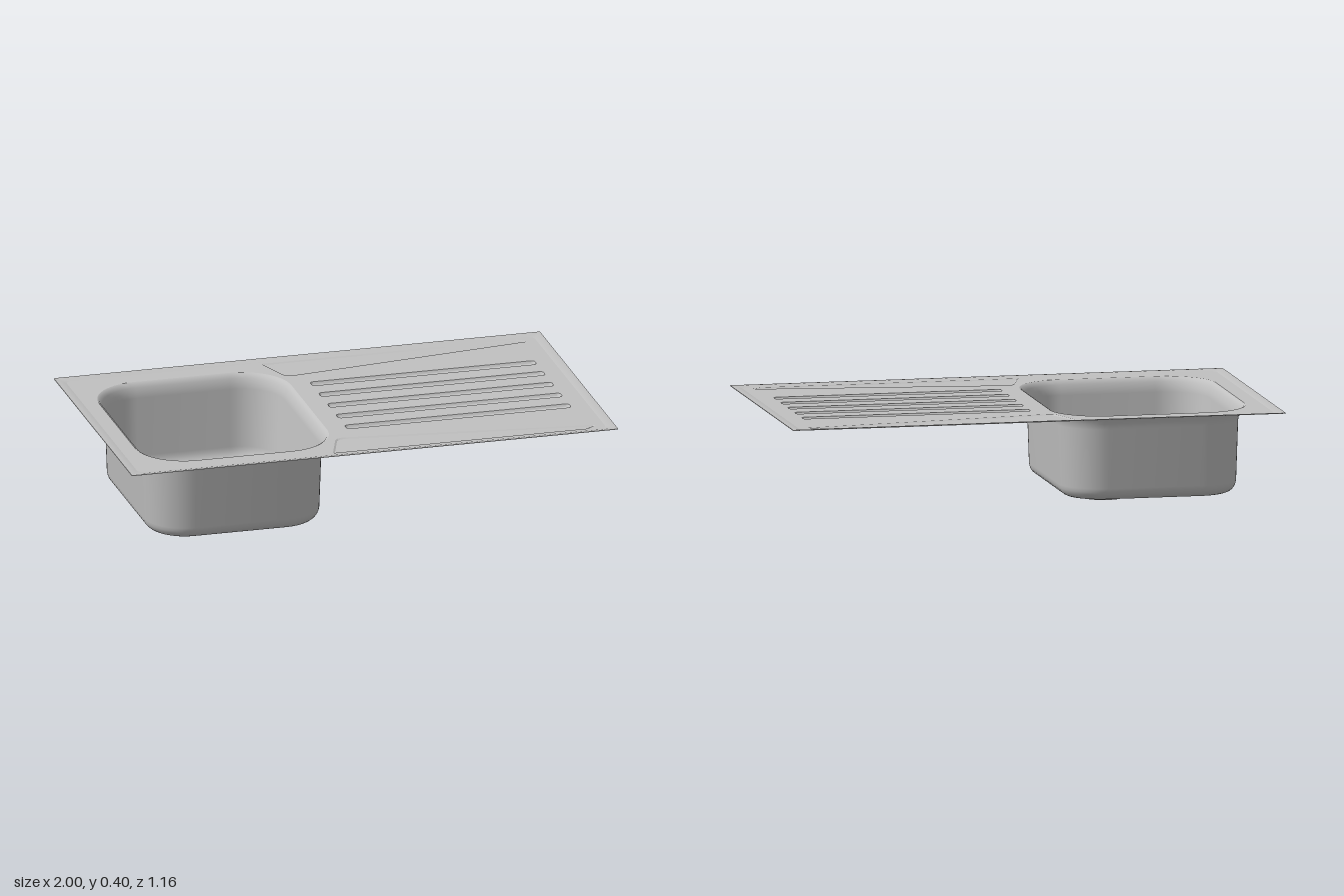
import * as THREE from 'three';
import { toCreasedNormals } from 'three/addons/utils/BufferGeometryUtils.js';

const steel = new THREE.MeshStandardMaterial({ color: 0xc0c0c0, side: THREE.DoubleSide });
steel.name = 'brushed steel';

const DECK = 0.399, EDGE = 0.404;

// Outlines are 2D points (x, -z), counter-clockwise seen from above.
function roundedRect(cx, cy, hx, hy, r, steps = 14) {
  const pts = [];
  [[1, 1], [-1, 1], [-1, -1], [1, -1]].forEach(([sx, sy], corner) => {
    for (let i = 0; i <= steps; i++) {
      const a = (corner + i / steps) * Math.PI / 2;
      pts.push(new THREE.Vector2(cx + sx * (hx - r) + r * Math.cos(a), cy + sy * (hy - r) + r * Math.sin(a)));
    }
  });
  return pts;
}

// Moves every side of a polygon inwards by d
function inset(pts, d) {
  const n = pts.length;
  return pts.map((p, i) => {
    const e1 = p.clone().sub(pts[(i + n - 1) % n]).normalize();
    const e2 = pts[(i + 1) % n].clone().sub(p).normalize();
    const n1 = new THREE.Vector2(-e1.y, e1.x), n2 = new THREE.Vector2(-e2.y, e2.x);
    return n1.clone().add(n2).multiplyScalar(d / (1 + n1.dot(n2))).add(p);
  });
}

// Skins rings [outline, height] from outside to inside, optionally closing the last one
function loft(name, rings, cap, crease = 0.6) {
  const pos = [], idx = [], n = rings[0][0].length;
  rings.forEach(([pts, y]) => pts.forEach((p) => pos.push(p.x, y, -p.y)));
  for (let k = 0; k < rings.length - 1; k++) {
    for (let i = 0; i < n; i++) {
      const a = k * n + i, b = k * n + (i + 1) % n;
      idx.push(a, b, a + n, b, b + n, a + n);
    }
  }
  if (cap) {
    const base = (rings.length - 1) * n;
    THREE.ShapeUtils.triangulateShape(rings[rings.length - 1][0].slice(), [])
      .forEach((f) => idx.push(base + f[0], base + f[1], base + f[2]));
  }
  const g = new THREE.BufferGeometry();
  g.setAttribute('position', new THREE.Float32BufferAttribute(pos, 3));
  g.setIndex(idx);
  return named(name, toCreasedNormals(g, crease));
}

function named(name, geometry) {
  const m = new THREE.Mesh(geometry, steel);
  m.name = name;
  return m;
}

function sheet(name, outline, holes, y) {
  const shape = new THREE.Shape(outline);
  holes.forEach((h) => shape.holes.push(new THREE.Path(h)));
  const m = named(name, new THREE.ShapeGeometry(shape).rotateX(-Math.PI / 2));
  m.position.y = y;
  return m;
}

export function createModel() {
  const sink = new THREE.Group();
  sink.name = 'sink';
  const holes = [];

  // Bowl: rolled lip, nearly upright walls, rounded foot, floor falling to the drain
  const bx = -0.505, dx = -0.385;
  const rim = roundedRect(bx, 0, 0.395, 0.465, 0.2);
  holes.push(rim);
  const bowl = [[rim, DECK]];
  [
    [0.386, 0.456, 0.193, 0.394], [0.378, 0.448, 0.186, 0.38],
    [0.370, 0.441, 0.179, 0.362], [0.366, 0.437, 0.175, 0.34],
    [0.358, 0.429, 0.168, 0.10],
  ].forEach(([hx, hz, r, y]) => bowl.push([roundedRect(bx, 0, hx, hz, r), y]));
  for (let i = 1; i <= 6; i++) {
    const a = i / 6 * Math.PI / 2, d = 0.046 * (1 - Math.cos(a));
    bowl.push([roundedRect(bx, 0, 0.357 - d, 0.428 - d, 0.167 - d), 0.098 - 0.046 * Math.sin(a)]);
  }
  [[0.125, 0.036], [0.108, 0.033], [0.098, 0.028], [0.091, 0.02], [0.087, 0]]
    .forEach(([r, y]) => bowl.push([roundedRect(dx, 0, r, r, r), y]));
  sink.add(loft('bowl', bowl, true, 0.7));

  // Drain strainer with rings of holes and a centre knob
  const perforations = [];
  [[8, 0.03], [14, 0.048], [20, 0.065]].forEach(([count, radius]) => {
    for (let i = 0; i < count; i++) {
      const a = i / count * Math.PI * 2;
      perforations.push(roundedRect(dx + radius * Math.cos(a), radius * Math.sin(a), 0.005, 0.005, 0.005, 3));
    }
  });
  sink.add(sheet('strainer', roundedRect(dx, 0, 0.089, 0.089, 0.089), perforations, 0.022));
  const knob = named('strainerKnob', new THREE.CylinderGeometry(0.012, 0.015, 0.006, 24));
  knob.position.set(dx, 0.025, 0);
  sink.add(knob);

  // Five drainer grooves
  for (let i = -2; i <= 2; i++) {
    const ring = (d) => roundedRect(0.43, i * 0.128, 0.461 - d, 0.022 - d, 0.014 - d, 5);
    holes.push(ring(0));
    sink.add(loft('drainerGroove', [[ring(0), DECK], [ring(0.004), 0.392], [ring(0.009), 0.389]], true));
  }

  // Tapered recessed panels along the front and back of the drainer
  const wedge = [[-0.16, 0.53], [-0.112, 0.392], [-0.1, 0.376], [-0.08, 0.37], [-0.05, 0.372],
    [0.92, 0.495], [0.925, 0.502], [0.885, 0.53]];
  [1, -1].forEach((side) => {
    const outline = wedge.map(([x, y]) => new THREE.Vector2(x, side * y));
    if (side < 0) outline.reverse();
    holes.push(outline);
    sink.add(loft('taperedPanel', [[outline, DECK], [inset(outline, 0.007), DECK - 0.004]], true, 0.3));
  });

  // Flat deck with its slightly raised border
  const inner = roundedRect(0, 0, 0.962, 0.543, 0.03, 6);
  sink.add(sheet('deck', inner, holes, DECK));
  sink.add(loft('deckBorder', [
    [roundedRect(0, 0, 1, 0.58, 0.006, 6), EDGE - 0.002],
    [roundedRect(0, 0, 0.999, 0.579, 0.006, 6), EDGE],
    [roundedRect(0, 0, 0.985, 0.565, 0.012, 6), EDGE],
    [inner, DECK],
  ], false));

  return sink;
}
